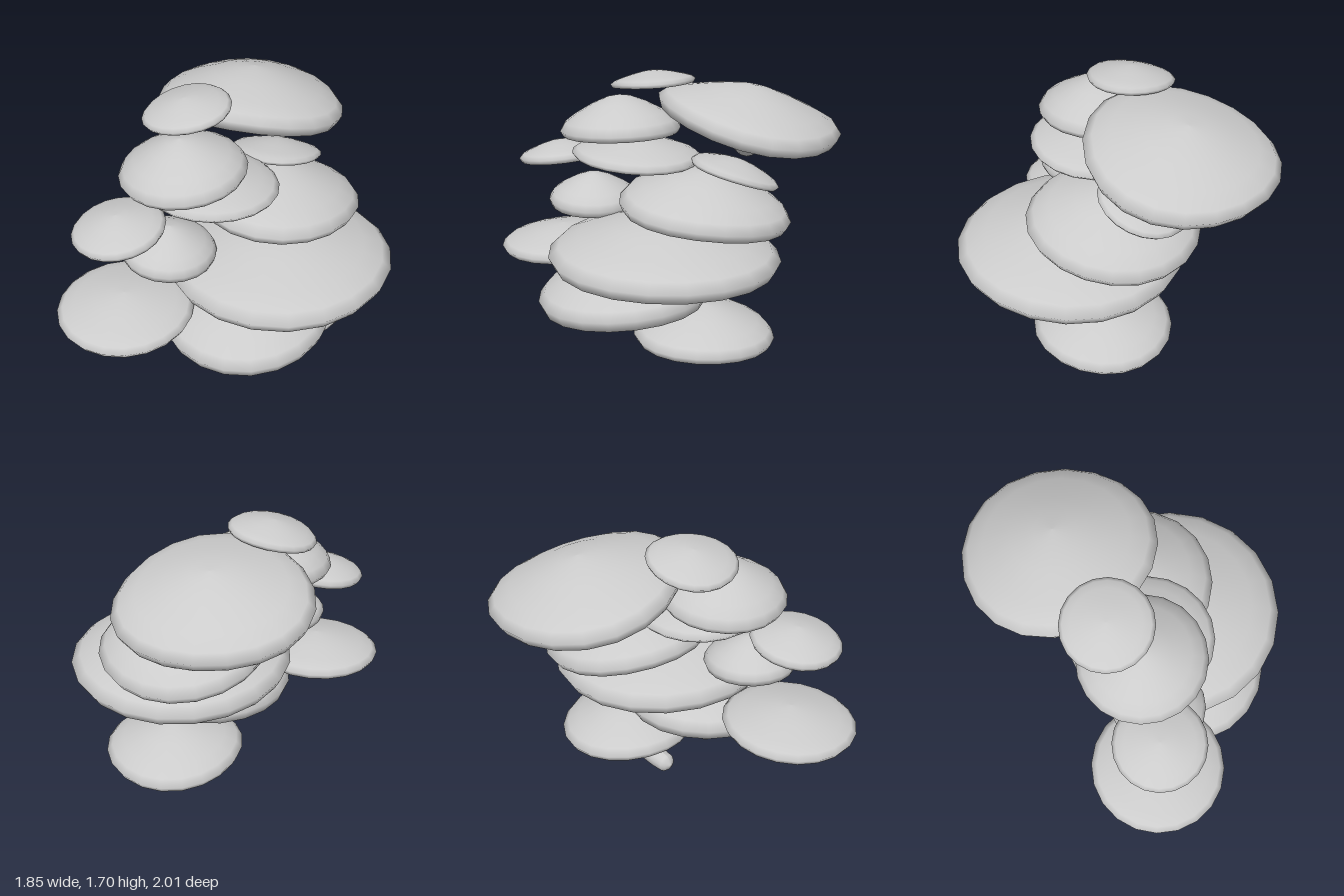
import * as THREE from 'three';

const material = new THREE.MeshStandardMaterial({ color: 0xcccccc });

// Cap cross-section as fractions: radius with lip depth below the rim, radius with dome height above it
const UNDERSIDE = [[0, -0.35], [0.5, -0.55], [0.86, -0.97], [0.95, -0.95]];
const DOME = [[1, 0], [0.92, 0.24], [0.75, 0.46], [0.45, 0.76], [0.2, 0.94], [0, 1]];

// name, rim centre, radius, dome height, lip depth, tilt of the axis in x and z, rise of the rim at its sides
const CAPS = [
  ['lowestCap', [0.25, 0.235, -0.145], 0.42, 0.17, 0.04, 0.035, -0.04, 0.015],
  ['lowerFrontCap', [0.11, 0.47, 0.315], 0.505, 0.21, 0.065, 0, 0.05, 0.013],
  ['broadMiddleCap', [0.25, 0.745, 0.09], 0.672, 0.22, 0.065, 0.01, -0.03, 0.01],
  ['upperMiddleCap', [0.17, 0.985, -0.165], 0.505, 0.22, 0.05, 0.07, -0.12, 0.02],
  ['smallBackCap', [0.135, 1.17, -0.35], 0.27, 0.075, 0.02, 0.01, -0.33, 0.008],
  ['upperCentreCap', [-0.12, 1.235, 0.19], 0.385, 0.11, 0.025, 0, -0.06, -0.005],
  ['upperFrontCap', [-0.26, 1.365, 0.265], 0.363, 0.2, 0.035, -0.08, 0.02, 0],
  ['broadTopCap', [-0.05, 1.445, -0.47], 0.553, 0.195, 0.06, 0.04, -0.2, -0.03],
  ['smallTopCap', [-0.295, 1.625, 0.06], 0.257, 0.075, 0.022, -0.17, 0.05, -0.008],
  ['sideMiddleCap', [-0.31, 0.925, 0.43], 0.273, 0.16, 0.04, 0.07, 0, 0],
  ['sideUpperCap', [-0.535, 1.15, 0.6], 0.265, 0.09, 0.028, -0.115, 0.08, 0],
  ['sideLowerCap', [-0.53, 0.585, 0.6], 0.397, 0.11, 0.035, -0.01, 0.05, 0],
];

// name, path from foot to cap, radius at the foot and at the cap
const STEMS = [
  ['lowestStem', [[-0.09, 0.06, 0.025], [0.03, 0.07, -0.03], [0.15, 0.12, -0.09], [0.24, 0.19, -0.14], [0.28, 0.26, -0.155]], 0.055, 0.09],
  ['lowerFrontStem', [[-0.17, 0.29, 0.23], [-0.04, 0.31, 0.265], [0.09, 0.35, 0.315], [0.16, 0.41, 0.335], [0.18, 0.48, 0.34]], 0.048, 0.09],
  ['middleStem', [[0.03, 0.54, -0.08], [0.14, 0.575, -0.06], [0.25, 0.63, 0], [0.32, 0.71, 0.06], [0.34, 0.76, 0.07]], 0.055, 0.095],
  ['topStem', [[-0.25, 1.24, -0.525], [-0.12, 1.26, -0.49], [0.02, 1.31, -0.44], [0.1, 1.39, -0.41], [0.12, 1.46, -0.41]], 0.055, 0.095],
];

const UP = new THREE.Vector3(0, 1, 0);

function makeCap([name, centre, radius, height, lip, tiltX, tiltZ, rise]) {
  const points = [
    ...UNDERSIDE.map(([r, h]) => new THREE.Vector2(r * radius, h * lip)),
    ...DOME.map(([r, h]) => new THREE.Vector2(r * radius, h * height)),
  ];
  const geometry = new THREE.LatheGeometry(points, 20);
  // Gentle saddle bend of the rim
  const position = geometry.attributes.position;
  for (let i = 0; i < position.count; i++) {
    const x = position.getX(i) / radius;
    const z = position.getZ(i) / radius;
    position.setY(i, position.getY(i) + rise * (x * x - z * z));
  }
  const cap = new THREE.Mesh(geometry, material);
  cap.name = name;
  cap.position.set(...centre);
  cap.quaternion.setFromUnitVectors(UP, new THREE.Vector3(tiltX, 1, tiltZ).normalize());
  return cap;
}

// Curved tube that widens towards the cap and closes to a blunt foot
function makeStem([name, path, footRadius, capRadius]) {
  const curve = new THREE.CatmullRomCurve3(path.map((p) => new THREE.Vector3(...p)));
  const rings = 24;
  const sides = 14;
  const geometry = new THREE.TubeGeometry(curve, rings, 1, sides);
  const position = geometry.attributes.position;
  const vertex = new THREE.Vector3();
  for (let i = 0; i <= rings; i++) {
    const t = i / rings;
    const centre = curve.getPointAt(t);
    const radius = THREE.MathUtils.lerp(footRadius, capRadius, t) * Math.sqrt(Math.min(1, t / 0.08));
    for (let j = 0; j <= sides; j++) {
      const k = i * (sides + 1) + j;
      vertex.fromBufferAttribute(position, k).sub(centre).multiplyScalar(radius).add(centre);
      position.setXYZ(k, vertex.x, vertex.y, vertex.z);
    }
  }
  geometry.computeVertexNormals();
  const stem = new THREE.Mesh(geometry, material);
  stem.name = name;
  return stem;
}

export function createModel() {
  const group = new THREE.Group();
  group.name = 'mushroomCluster';
  CAPS.forEach((cap) => group.add(makeCap(cap)));
  STEMS.forEach((stem) => group.add(makeStem(stem)));
  return group;
}
